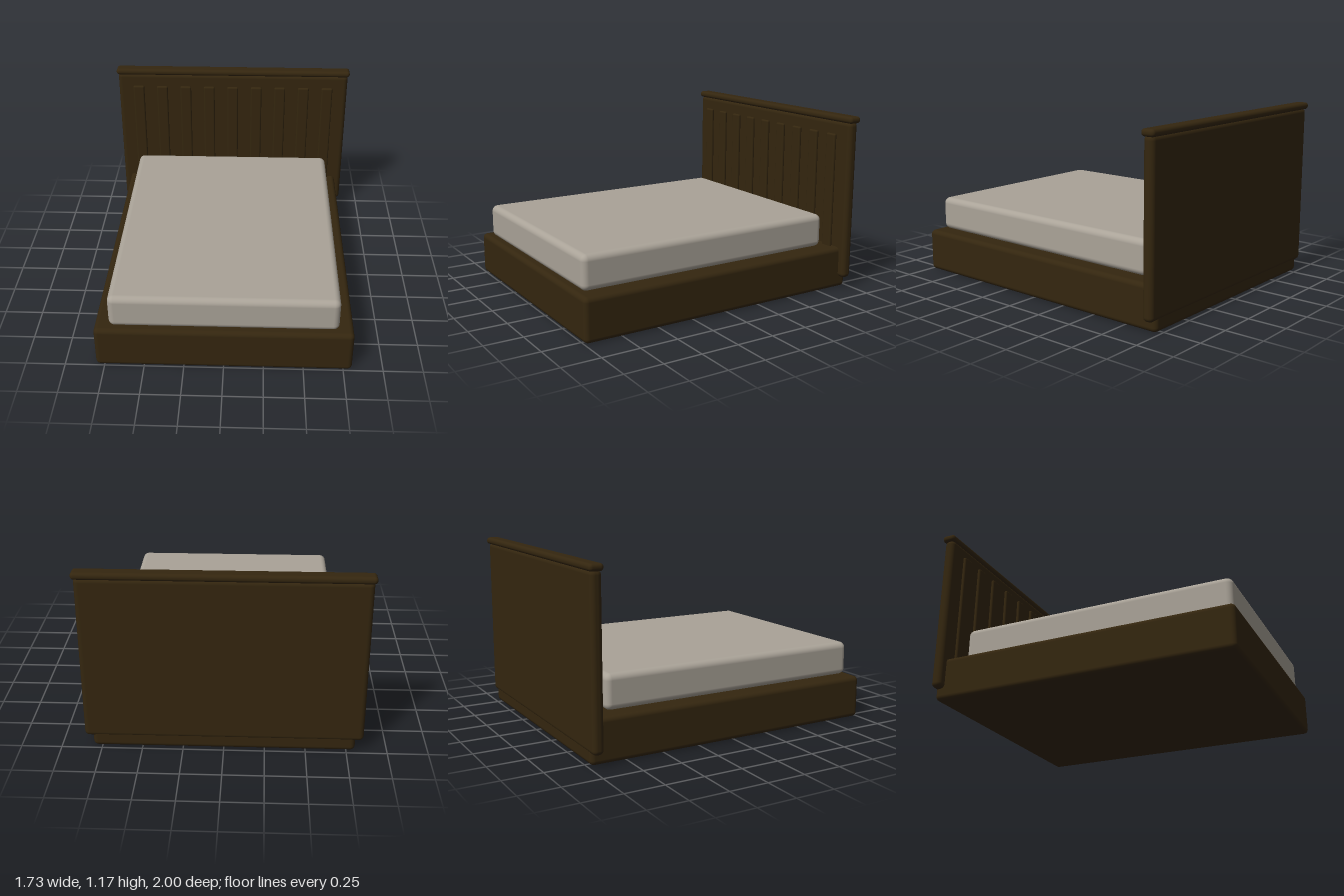
import * as THREE from 'three';
import { RoundedBoxGeometry } from 'three/addons/geometries/RoundedBoxGeometry.js';

export function createModel() {
  const bed = new THREE.Group();
  bed.name = 'bed';

  const wood = new THREE.MeshStandardMaterial({ color: 0x34260f });
  wood.name = 'dark wood';
  const fabric = new THREE.MeshStandardMaterial({ color: 0xaaa398 });
  fabric.name = 'mattress fabric';

  // Rounded block given by its [min, max] extent on each axis
  function block(name, material, [x0, x1], [y0, y1], [z0, z1], radius) {
    const geometry = new RoundedBoxGeometry(x1 - x0, y1 - y0, z1 - z0, 4, radius);
    const mesh = new THREE.Mesh(geometry, material);
    mesh.name = name;
    mesh.position.set((x0 + x1) / 2, (y0 + y1) / 2, (z0 + z1) / 2);
    bed.add(mesh);
    return mesh;
  }

  // Base and mattress
  block('bedBase', wood, [-0.805, 0.805], [0, 0.28], [-0.983, 1], 0.03);
  block('mattress', fabric, [-0.713, 0.713], [0.28, 0.502], [-0.838, 0.963], 0.04);

  // Headboard panel with its overhanging cap rail
  block('headboardPanel', wood, [-0.855, 0.855], [0.073, 1.135], [-0.988, -0.916], 0.03);
  block('headboardCap', wood, [-0.867, 0.867], [1.126, 1.171], [-1, -0.909], 0.021);

  // Row of upright slats standing just in front of the panel
  const slats = 9;
  const pitch = 0.1757;
  for (let i = 0; i < slats; i++) {
    const x = (i - (slats - 1) / 2) * pitch;
    block('headboardSlat' + (i + 1), wood, [x - 0.041, x + 0.041], [0.2, 1.048], [-0.909, -0.885], 0.0115);
  }

  return bed;
}
